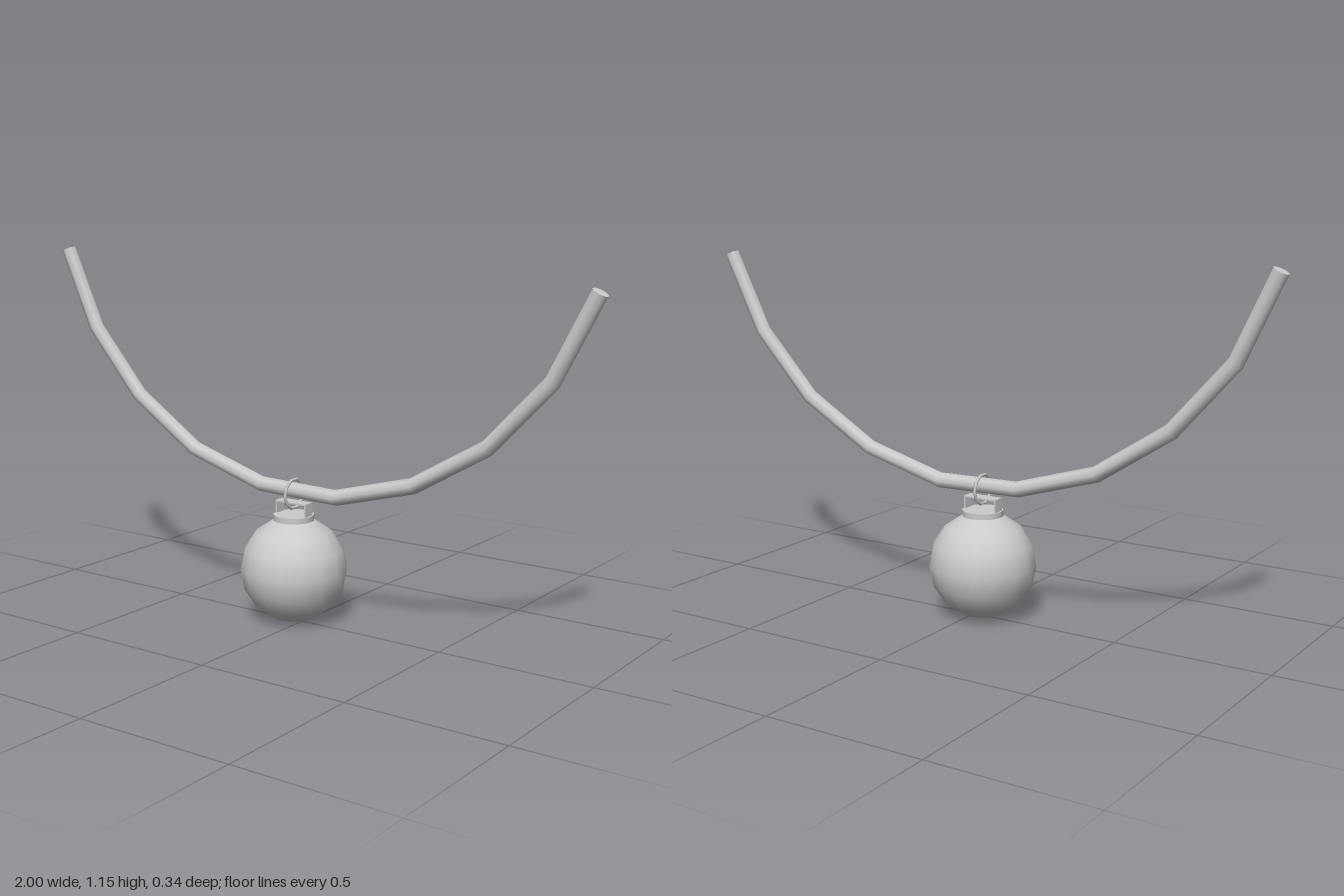
import * as THREE from 'three';

const material = new THREE.MeshStandardMaterial({ color: 0xcccccc, side: THREE.DoubleSide });

function add(parent, name, geometry, x = 0, y = 0, z = 0) {
  const mesh = new THREE.Mesh(geometry, material);
  mesh.name = name;
  mesh.position.set(x, y, z);
  parent.add(mesh);
  return mesh;
}

export function createModel() {
  const model = new THREE.Group();
  model.name = 'hangingBauble';

  // Sagging branch: nine straight segments along one curve
  const joints = [
    [-0.978, 1.138], [-0.86, 0.882], [-0.672, 0.668], [-0.43, 0.51], [-0.156, 0.428],
    [0.126, 0.422], [0.404, 0.497], [0.65, 0.642], [0.842, 0.845], [0.973, 1.1],
  ].map(([x, y]) => new THREE.Vector3(x, y, 0));
  const curve = new THREE.CatmullRomCurve3(joints);
  const radius = 0.025;
  const branch = new THREE.Group();
  branch.name = 'branch';
  model.add(branch);
  add(branch, 'branchTube', new THREE.TubeGeometry(curve, joints.length - 1, radius, 8));

  // Flat discs closing both ends
  for (const [u, name] of [[0, 'branchEndRight'], [1, 'branchEndLeft']]) {
    const p = curve.getPointAt(u);
    const outward = curve.getTangentAt(u).multiplyScalar(u ? 1 : -1);
    const disc = add(branch, name, new THREE.CircleGeometry(radius, 8), p.x, p.y, p.z);
    disc.quaternion.setFromUnitVectors(new THREE.Vector3(0, 0, 1), outward);
  }

  // Bauble hanging slightly off centre
  const bauble = new THREE.Group();
  bauble.name = 'bauble';
  bauble.position.x = -0.033;
  model.add(bauble);
  add(bauble, 'ball', new THREE.SphereGeometry(0.17, 16, 8), 0, 0.172, 0);
  add(bauble, 'cap', new THREE.CylinderGeometry(0.065, 0.065, 0.018, 16), 0, 0.339, 0);

  // Thin strip loop on the cap
  const strip = new THREE.Group();
  strip.name = 'capLoop';
  bauble.add(strip);
  add(strip, 'loopTop', new THREE.BoxGeometry(0.116, 0.005, 0.038), 0, 0.3865, 0);
  for (const side of [-1, 1]) {
    add(strip, 'loopLeg', new THREE.BoxGeometry(0.005, 0.043, 0.038), side * 0.0555, 0.3655, 0);
  }

  // Wire ring linking the loop to the branch
  const ring = add(bauble, 'ring', new THREE.TorusGeometry(0.047, 0.005, 6, 10), 0, 0.413, 0);
  ring.rotation.y = Math.PI / 2;

  return model;
}
